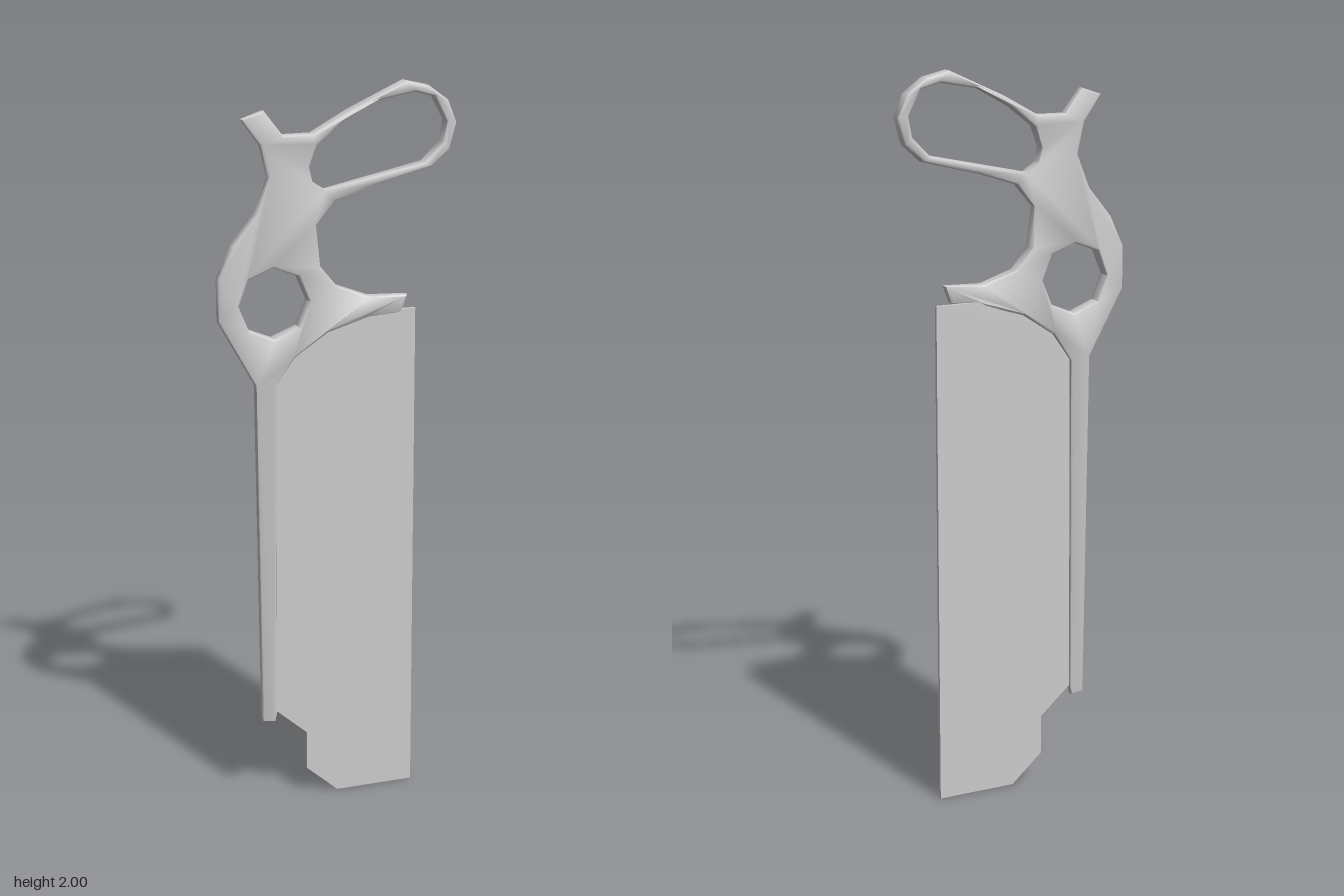
import * as THREE from 'three';
import { toCreasedNormals } from 'three/addons/utils/BufferGeometryUtils.js';

const { lerp, mapLinear, clamp } = THREE.MathUtils;
const material = new THREE.MeshStandardMaterial({ color: 0xcccccc });
const points = (list) => list.map(([x, y]) => new THREE.Vector2(x, y));
const MID = -0.0095; // centre plane of the saw

// Half thickness by height: spine, body, neck, grip loop
const thickness = [
  [0.24, 0.012], [1.21, 0.014], [1.29, 0.02], [1.34, 0.021],
  [1.53, 0.021], [1.64, 0.013], [1.7, 0.016], [1.78, 0.021], [2, 0.021],
];
function halfAt(x, y) {
  let half = thickness[0][1];
  for (let i = 1; i < thickness.length; i++) {
    const [y0, h0] = thickness[i - 1], [y1, h1] = thickness[i];
    if (y >= y0) half = lerp(h0, h1, clamp((y - y0) / (y1 - y0), 0, 1));
  }
  // The horn thins to its tip, and the back edge of the body and loop narrows
  if (y > 1.75) half = Math.min(half, clamp(mapLinear(x, -0.26, -0.06, 0.007, 0.021), 0.007, 0.021));
  if (x < -0.28) half = Math.min(half, mapLinear(x, -0.33, -0.28, 0.0135, 0.021));
  if (x > 0.3) half = Math.min(half, mapLinear(x, 0.3, 0.33, 0.021, 0.0175));
  return half;
}

// Spine, body, bent tab, grip loop and horn in one bevelled casting
function makeFrame() {
  const shape = new THREE.Shape(points([
    [-0.26, 1.92], [-0.21, 1.85], [-0.19, 1.765], [-0.225, 1.675], [-0.29, 1.595],
    [-0.33, 1.51], [-0.33, 1.395], [-0.23, 1.215], [-0.22, 0.245], [-0.183, 0.24],
    [-0.178, 0.265], [-0.172, 1.21], [-0.12, 1.285], [-0.03, 1.345], [0.085, 1.38],
    [0.17, 1.39], [0.187, 1.437], [0.085, 1.437], [-0.005, 1.47], [-0.05, 1.525],
    [-0.06, 1.635], [-0.01, 1.695], [0.1, 1.73], [0.26, 1.77], [0.31, 1.815],
    [0.33, 1.885], [0.305, 1.945], [0.25, 1.985], [0.185, 2], [0.03, 1.93],
    [-0.07, 1.875], [-0.15, 1.875], [-0.2, 1.94],
  ]));
  // Opening of the grip loop
  shape.holes.push(new THREE.Path(points([
    [-0.08, 1.79], [-0.06, 1.845], [0.01, 1.9], [0.1, 1.95], [0.21, 1.97], [0.265, 1.955],
    [0.3, 1.89], [0.29, 1.835], [0.24, 1.785], [-0.035, 1.727], [-0.07, 1.75],
  ])));
  // Octagonal hole in the body
  const octagon = [];
  for (let i = 0; i < 8; i++) {
    const a = -i * Math.PI / 4;
    octagon.push([-0.18 + 0.096 * Math.cos(a), 1.435 + 0.096 * Math.sin(a)]);
  }
  shape.holes.push(new THREE.Path(points(octagon)));

  const bevel = 0.006;
  const geometry = new THREE.ExtrudeGeometry(shape, {
    depth: 1.1, bevelThickness: 0.45, bevelSize: bevel, bevelOffset: -bevel, bevelSegments: 2,
  });
  // Scale the unit thickness to the local one and bend the tab forward
  const p = geometry.attributes.position;
  for (let i = 0; i < p.count; i++) {
    const x = p.getX(i), y = p.getY(i), unit = p.getZ(i) - 0.55;
    let half = halfAt(x, y), centre = MID;
    if (y > 1.36 && y < 1.46 && x > 0.03) {
      const t = clamp((x - 0.03) / 0.15, 0, 1);
      half = lerp(0.018, 0.013, t);
      centre = lerp(MID, 0.017, t);
    }
    p.setZ(i, centre + half * unit);
  }
  geometry.computeVertexNormals();
  return toCreasedNormals(geometry, 0.75);
}

// Flat blade, its back edge set into the spine and body
function makeBlade() {
  const shape = new THREE.Shape(points([
    [0, 0], [0.222, 0], [0.222, 1.39], [0, 1.39], [-0.14, 1.3], [-0.2, 1.2],
    [-0.2, 0.27], [-0.175, 0.265], [-0.09, 0.19], [-0.09, 0.08],
  ]));
  const geometry = new THREE.ExtrudeGeometry(shape, { depth: 0.01, bevelEnabled: false });
  return geometry.translate(0, 0, MID - 0.005);
}

export function createModel() {
  const model = new THREE.Group();
  model.name = 'handSaw';
  const parts = { handleFrame: makeFrame(), blade: makeBlade() };
  for (const [name, geometry] of Object.entries(parts)) {
    const mesh = new THREE.Mesh(geometry, material);
    mesh.name = name;
    model.add(mesh);
  }
  return model;
}
